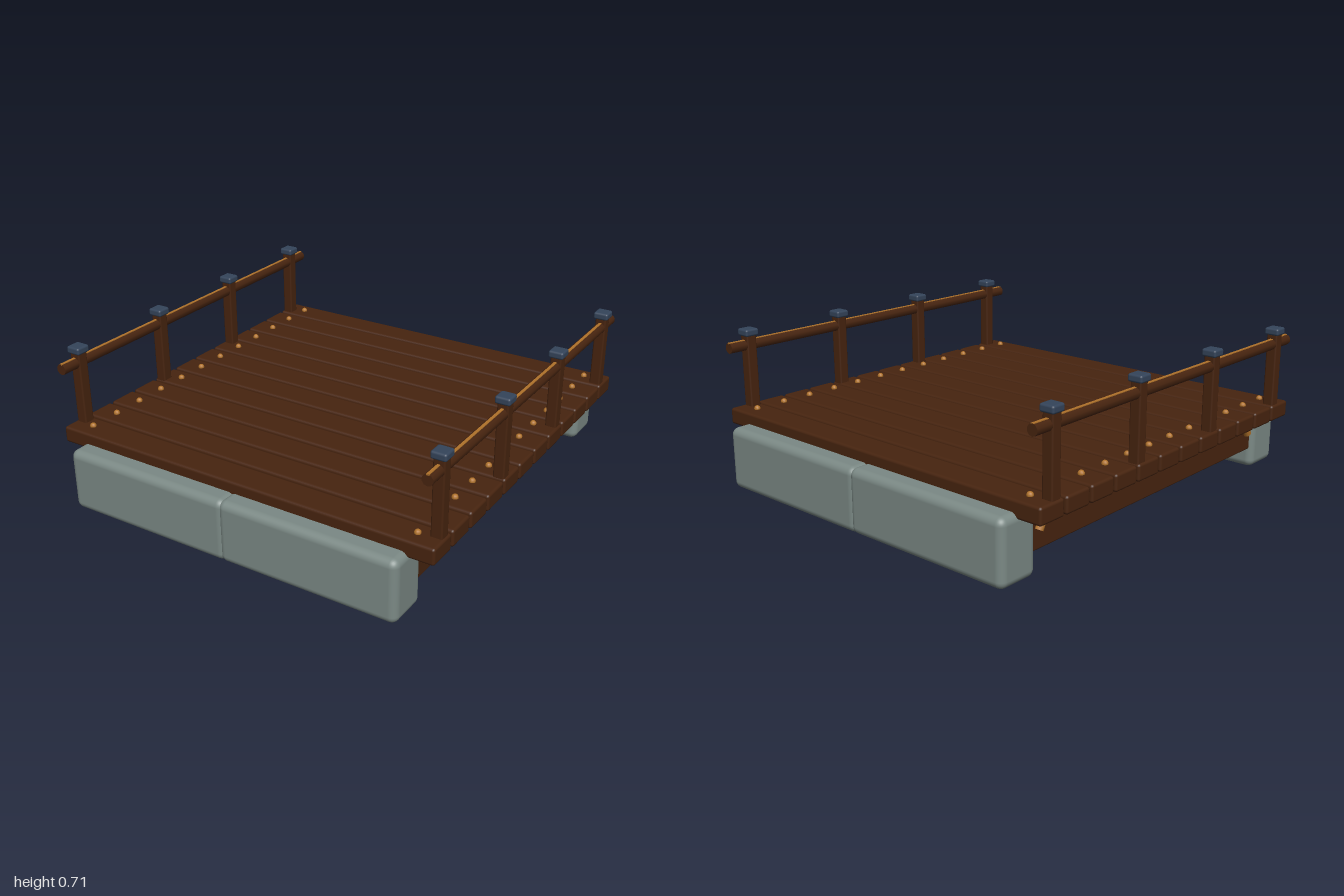
import * as THREE from 'three';
import { RoundedBoxGeometry } from 'three/addons/geometries/RoundedBoxGeometry.js';

const material = (name, color) => {
  const m = new THREE.MeshStandardMaterial({ color });
  m.name = name;
  return m;
};

export function createModel() {
  const wood = material('dark wood', 0x47240f);
  const stone = material('grey stone', 0x7b8985);
  const iron = material('blue iron', 0x34445a);
  const brass = material('brass', 0xb0722a);

  const model = new THREE.Group();
  model.name = 'footbridge';

  const add = (name, geometry, mat, x, y, z) => {
    const mesh = new THREE.Mesh(geometry, mat);
    mesh.name = name;
    mesh.position.set(x, y, z);
    model.add(mesh);
    return mesh;
  };

  // Stone footings: two slightly overlapping blocks at each end
  const blockGeo = new RoundedBoxGeometry(0.845, 0.29, 0.2, 4, 0.035);
  for (const z of [-0.9, 0.9])
    for (const x of [-0.4075, 0.4075]) add('footing', blockGeo, stone, x, 0.145, z);

  // Deck planks with a nail near each end
  const plankGeo = new RoundedBoxGeometry(1.88, 0.076, 0.14, 2, 0.012);
  const nailGeo = new THREE.SphereGeometry(0.015, 10, 8);
  for (let i = 0; i < 12; i++) {
    const z = -0.841 + (i * 1.682) / 11;
    add('plank', plankGeo, wood, 0, 0.302, z);
    for (const x of [-0.83, 0.83]) add('nail', nailGeo, brass, x, 0.343, z);
  }

  const beamGeo = new RoundedBoxGeometry(0.1, 0.14, 1.64, 2, 0.008);
  const braceGeo = new THREE.CylinderGeometry(0.02, 0.02, 0.1, 8);
  const postGeo = new RoundedBoxGeometry(0.052, 0.36, 0.052, 2, 0.008);
  const capGeo = new RoundedBoxGeometry(0.07, 0.034, 0.07, 2, 0.01);
  const railGeo = new THREE.CylinderGeometry(0.025, 0.025, 1.84, 10);
  railGeo.rotateX(Math.PI / 2);
  const inlayGeo = new THREE.BoxGeometry(0.013, 0.006, 1.84);

  for (const side of [-1, 1]) {
    // Support beam under the deck and its corner braces
    add('beam', beamGeo, wood, side * 0.76, 0.163, 0);
    for (const end of [-1, 1]) {
      const brace = add('brace', braceGeo, brass, side * 0.815, 0.222, end * 0.749);
      brace.rotation.x = -end * 0.5;
    }

    // Railing: posts, caps and a round rail with a brass top strip
    const x = side * 0.905;
    for (const z of [-0.81, -0.27, 0.27, 0.81]) {
      add('post', postGeo, wood, x, 0.5, z);
      add('postCap', capGeo, iron, x, 0.69, z);
    }
    add('rail', railGeo, wood, x, 0.63, 0);
    add('railStrip', inlayGeo, brass, x, 0.653, 0);
  }

  return model;
}
